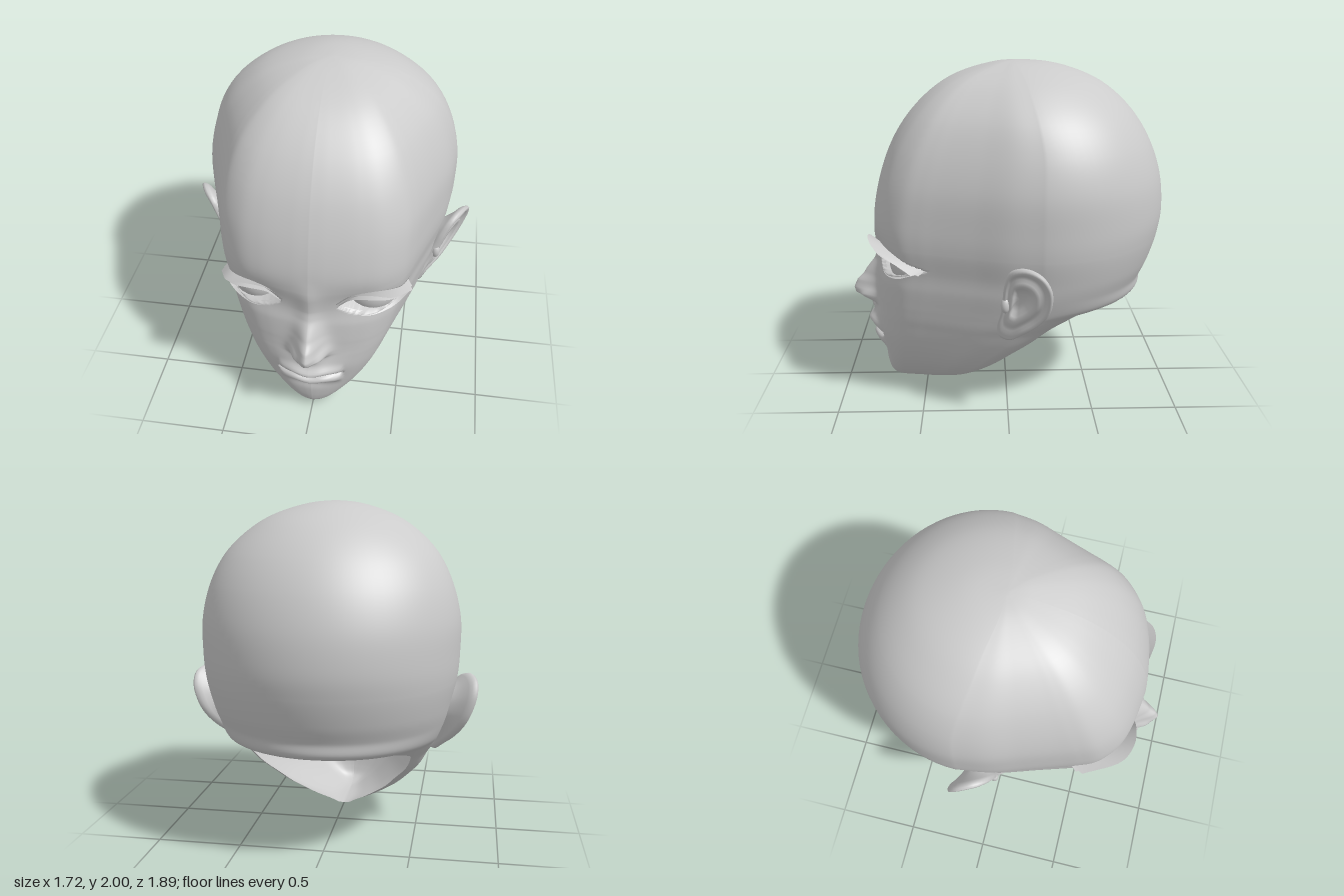
import * as THREE from 'three';
import { mergeVertices } from 'three/addons/utils/BufferGeometryUtils.js';

const skin = new THREE.MeshStandardMaterial({ color: 0xcccccc, side: THREE.DoubleSide });
const bump = (v, c, s) => Math.exp(-(((v - c) / s) ** 2));
const { smoothstep, lerp, clamp } = THREE.MathUtils;

// Smooth surface through rows of points
function loft(rows, flip = false) {
  const n = rows[0].length, index = [];
  for (let i = 0; i < rows.length - 1; i++) {
    for (let j = 0; j < n - 1; j++) {
      const a = i * n + j, b = a + 1, c = a + n, d = c + 1;
      if (flip) index.push(a, b, c, b, d, c);
      else index.push(a, c, b, b, c, d);
    }
  }
  let geo = new THREE.BufferGeometry();
  geo.setAttribute('position', new THREE.Float32BufferAttribute(rows.flat(2), 3));
  geo.setIndex(index);
  geo = mergeVertices(geo, 1e-5);
  geo.computeVertexNormals();
  return geo;
}

function part(name, geo) {
  const mesh = new THREE.Mesh(geo, skin);
  mesh.name = name;
  return mesh;
}

// Head levels: y, front z, half width, z of widest point, back z, closure (1 = closed at the back)
const LEVELS = [
  [2, -.05, 0, -.05, -.05, 1],
  [1.985, .07, .15, -.06, -.26, 1],
  [1.93, .26, .33, -.1, -.45, 1],
  [1.85, .41, .47, -.13, -.6, 1],
  [1.72, .55, .605, -.17, -.74, 1],
  [1.55, .665, .695, -.2, -.85, 1],
  [1.35, .745, .745, -.2, -.92, 1],
  [1.15, .79, .747, -.2, -.94, 1],
  [1.0, .795, .735, -.2, -.92, 1],
  [.85, .775, .7, -.2, -.875, 1],
  [.75, .785, .675, -.17, -.83, 1],
  [.65, .79, .64, -.13, -.79, 1],
  [.6, .79, .62, -.1, -.5, .6],
  [.55, .79, .597, -.06, -.33, .42],
  [.5, .79, .57, -.02, -.24, .37],
  [.4, .785, .52, .03, -.13, .36],
  [.3, .772, .45, .12, -.03, .4],
  [.2, .76, .36, .2, .07, .42],
  [.1, .745, .235, .3, .17, .5],
  [.04, .72, .13, .38, .24, .55],
  [.01, .66, .06, .42, .26, .6],
  [0, .6, 0, .42, .28, .6],
];

// Front half of a level: x as a share of the width, z as a share of the depth
const FRONT = new THREE.CatmullRomCurve3([
  [0, 1], [.13, .992], [.37, .96], [.53, .91], [.67, .81], [.73, .71],
  [.775, .61], [.87, .4], [.96, .2], [1, 0],
].map(([x, z]) => new THREE.Vector3(x, 0, z)));

// Nose ridge: y, projection, half width
const NOSE = [
  [1.08, 0, .06], [.95, .015, .06], [.85, .02, .06], [.8, .03, .06], [.7, .09, .068],
  [.65, .135, .072], [.6, .155, .078], [.57, .145, .08], [.54, .08, .08], [.515, .035, .06], [.46, 0, .05],
];

// Relief of the face at (x, y)
function relief(x, y) {
  let d = 0;
  // Nose, wings and nostrils
  for (let i = 0; i < NOSE.length - 1; i++) {
    const [y0, d0, w0] = NOSE[i], [y1, d1, w1] = NOSE[i + 1];
    if (y <= y0 && y > y1) {
      const t = smoothstep(y0 - y, 0, y0 - y1) * .3 + .7 * (y0 - y) / (y0 - y1);
      d += lerp(d0, d1, t) * bump(x, 0, lerp(w0, w1, t));
    }
  }
  d += .035 * bump(x, .078, .033) * bump(y, .57, .035);
  d -= .025 * bump(x, .045, .02) * bump(y, .53, .015);
  // Lips around the mouth line
  const span = Math.sqrt(Math.max(0, 1 - (x / .19) ** 2));
  const mouth = .355 + .012 * bump(x, .09, .06);
  d += .04 * bump(x, 0, .16) * bump(y, .43, .09);
  d += span * (.038 * bump(y, mouth + .045, .03) + .045 * bump(y, mouth - .045, .036));
  d -= Math.sqrt(span) * .05 * bump(y, mouth, .011);
  d -= .012 * bump(x, 0, .12) * bump(y, .235, .035);
  // Soft hollow under the brow, then the almond eye opening
  d -= .02 * bump(x, .28, .16) * bump(y, .93, .09);
  const u = (x - .345) / .185;
  if (Math.abs(u) < 1) {
    const k = 1 - u * u;
    const inside = Math.min(.885 + .09 * k - y, y - .885 + .062 * k);
    d -= .13 * smoothstep(inside, -.002, .014);
  }
  return d;
}

function headGeometry() {
  const rows = [], frontCols = 90, backCols = 20;
  const frontPts = Array.from({ length: frontCols + 1 }, (_, k) => FRONT.getPointAt((k / frontCols) ** 1.3));
  const addLevel = ([y, front, w, mid, back, closure]) => {
    const half = frontPts.map(p => {
      const x = p.x * w, z = mid + p.z * (front - mid);
      return [x, y, z + relief(x, y) * smoothstep(z, .25, .45)];
    });
    const end = clamp(closure, 0, 1) * Math.PI / 2;
    for (let k = 1; k <= backCols; k++) {
      const a = end * k / backCols;
      half.push([w * Math.cos(a), y, mid - (mid - back) * Math.sin(a) / Math.sin(end)]);
    }
    const mirrored = half.slice(1).reverse().map(([x, py, z]) => [-x, py, z]);
    rows.push([...mirrored, ...half]);
  };
  const last = LEVELS.length - 1;
  for (let i = 0; i < last; i++) {
    const p = [i - 1, i, i + 1, i + 2].map(k => LEVELS[clamp(k, 0, last)]);
    const steps = Math.max(4, Math.ceil((p[1][0] - p[2][0]) / (p[1][0] < 1.1 ? .01 : .035)));
    for (let s = 0; s < steps; s++) {
      const t = s / steps;
      // Catmull-Rom blend of neighbouring levels
      addLevel(p[1].map((_, c) => .5 * (2 * p[1][c] + (p[2][c] - p[0][c]) * t
        + (2 * p[0][c] - 5 * p[1][c] + 4 * p[2][c] - p[3][c]) * t * t
        + (3 * p[1][c] - p[0][c] - 3 * p[2][c] + p[3][c]) * t ** 3)));
    }
  }
  addLevel(LEVELS[last]);
  return loft(rows);
}

// Ear outline seen from the side: distance backwards, height
const EAR = new THREE.CatmullRomCurve3([
  [.228, .8], [.218, .9], [.165, .975], [.08, 1.0], [.005, .965], [-.025, .88], [-.035, .78],
  [-.045, .68], [-.065, .58], [-.055, .52], [0, .5], [.07, .55], [.16, .64], [.21, .72],
].map(([b, y]) => new THREE.Vector3(b, y, 0)), true);

// Ear relief from the hollow over the rim to the back: radius share, height
const EAR_PROFILE = [
  [0, -.045], [.15, -.045], [.3, -.035], [.4, -.005], [.5, .012], [.6, .008], [.68, -.008], [.76, -.006],
  [.83, .014], [.9, .022], [.96, .016], [1, 0], [.98, -.02], [.92, -.035], [.8, -.05], [.65, -.085], [.5, -.14],
];

function earGeometry(side) {
  const outline = EAR.getSpacedPoints(64);
  const rows = EAR_PROFILE.map(([r, h]) => outline.map(p => {
    const b = lerp(.06, p.x, r), y = lerp(.78, p.y, r);
    const soft = h > 0 ? smoothstep(b, -.07, .06) * smoothstep(y, .5, .62) : 1;
    const x = .72 + .33 * (y - .9) + .5 * (.03 + b) + h * soft;
    return [side * x, y, -b];
  }));
  return loft(rows, side < 0);
}

// Thin curved strip between two edges
function strip(side, inner, outer) {
  const edge = pts => new THREE.CatmullRomCurve3(pts.map(([x, y, z]) => new THREE.Vector3(side * x, y, z)))
    .getPoints(24).map(p => p.toArray());
  return loft([edge(outer), edge(inner)], side < 0);
}

const LID = [[.165, .89, .74], [.24, .95, .715], [.34, .972, .68], [.44, .95, .6], [.52, .895, .46]];
const LASH_TIP = [[.145, .915, .765], [.23, 1.01, .79], [.34, 1.04, .8], [.45, 1.0, .755], [.555, .872, .54]];
const UNDER_TIP = [[.16, .888, .75], [.235, .97, .775], [.34, .995, .785], [.45, .955, .72], [.55, .868, .5]];
const LOWER_LID = [[.19, .865, .725], [.32, .822, .69], [.44, .837, .6], [.52, .875, .47]];
const LOWER_TIP = [[.185, .858, .74], [.32, .807, .715], [.45, .817, .635], [.545, .868, .54]];

export function createModel() {
  const model = new THREE.Group();
  model.name = 'head';
  model.add(part('skull and face', headGeometry()));

  for (const [side, label] of [[1, 'left'], [-1, 'right']]) {
    const eye = part(`${label} eyeball`, new THREE.SphereGeometry(.165, 32, 24));
    eye.position.set(side * .32, .885, .515);
    model.add(eye);

    model.add(part(`${label} upper lash`, strip(side, LID, LASH_TIP)));
    model.add(part(`${label} inner lash`, strip(side, LID, UNDER_TIP)));
    model.add(part(`${label} lower lash`, strip(side, LOWER_LID, LOWER_TIP)));

    model.add(part(`${label} ear`, earGeometry(side)));
    // Small flap in front of the ear hollow
    const flap = part(`${label} ear flap`, new THREE.SphereGeometry(1, 16, 12));
    flap.scale.set(.025, .045, .025);
    flap.position.set(side * .672, .74, .02);
    model.add(flap);
  }
  return model;
}
